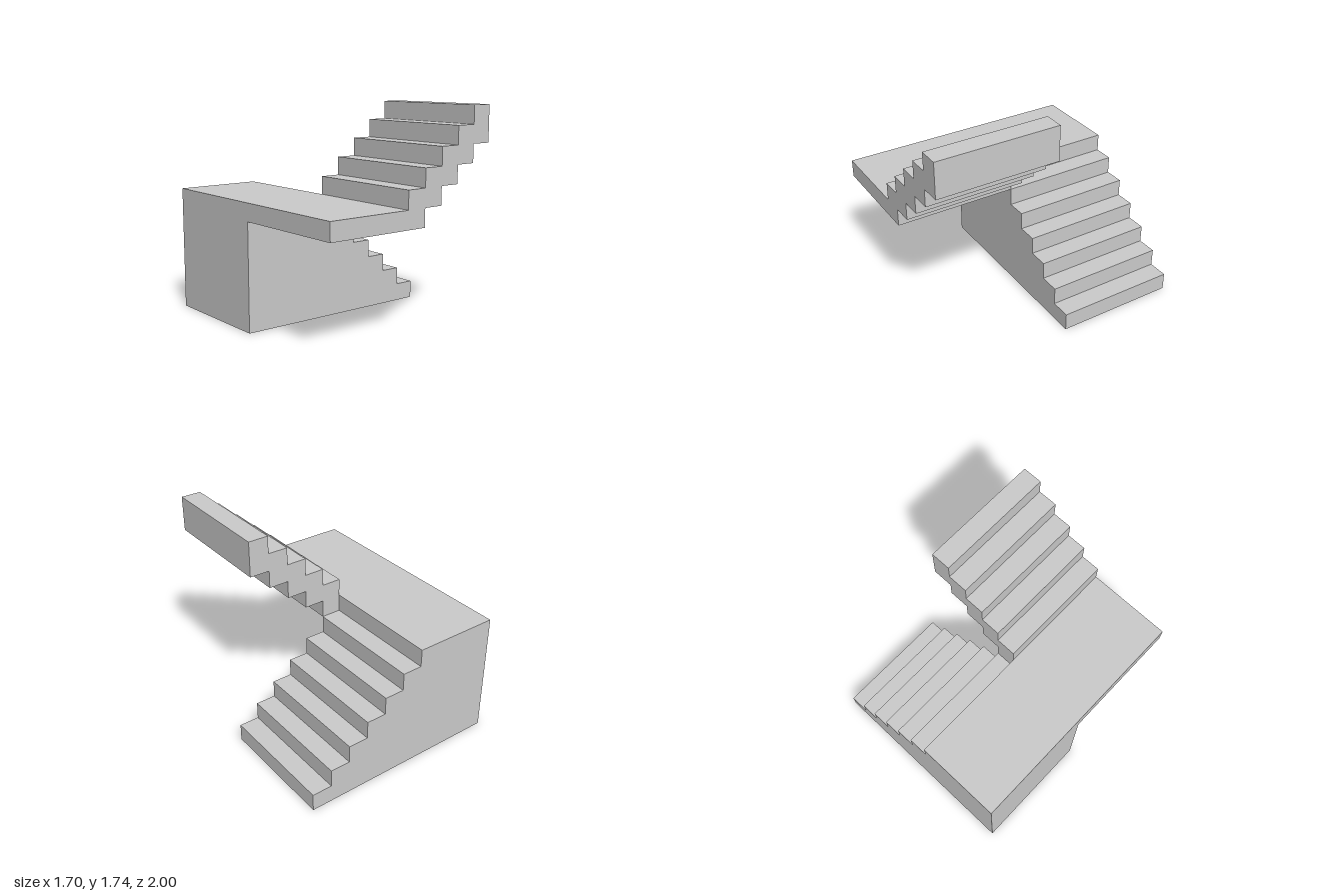
import * as THREE from 'three';

const RISE = 0.1452, TREAD = 0.1654;
const LEFT = -0.85, RIGHT = 0.85, WIDTH = 1;
const LANDING_EDGE = RIGHT - 6 * TREAD;
const LANDING_TOP = 7 * RISE;

const material = new THREE.MeshStandardMaterial({ color: 0xcccccc, flatShading: true });

// Extrudes a side profile (x, y) across one flight's width, starting at z
function flight(name, points, z) {
  const shape = new THREE.Shape(points.map(([x, y]) => new THREE.Vector2(x, y)));
  const geometry = new THREE.ExtrudeGeometry(shape, { depth: WIDTH, bevelEnabled: false });
  geometry.translate(0, 0, z);
  const mesh = new THREE.Mesh(geometry, material);
  mesh.name = name;
  return mesh;
}

export function createModel() {
  const group = new THREE.Group();
  group.name = 'staircase';

  // Solid lower flight, six steps climbing towards -x up to the landing
  const lower = [[LEFT, 0], [RIGHT, 0]];
  for (let i = 0; i < 6; i++) {
    lower.push([RIGHT - i * TREAD, (i + 1) * RISE], [RIGHT - (i + 1) * TREAD, (i + 1) * RISE]);
  }
  lower.push([LANDING_EDGE, LANDING_TOP], [LEFT, LANDING_TOP]);
  group.add(flight('lowerFlightAndLanding', lower, -WIDTH));

  // Landing slab and upper flight, five steps climbing back towards +x with a stepped underside
  const under = [], over = [];
  for (let i = 0; i < 5; i++) {
    const x0 = LANDING_EDGE + i * TREAD, x1 = x0 + TREAD;
    const top = LANDING_TOP + (i + 1) * RISE, bottom = top - 2 * RISE;
    if (i > 0) under.push([x0, bottom]);
    under.push([x1, bottom]);
    over.push([x0, top - RISE], [x0, top]);
    if (i === 4) over.push([x1, top]);
  }
  const upper = [[LEFT, LANDING_TOP - RISE], ...under, ...over.reverse(), [LEFT, LANDING_TOP]];
  group.add(flight('upperFlightAndLanding', upper, 0));

  return group;
}
